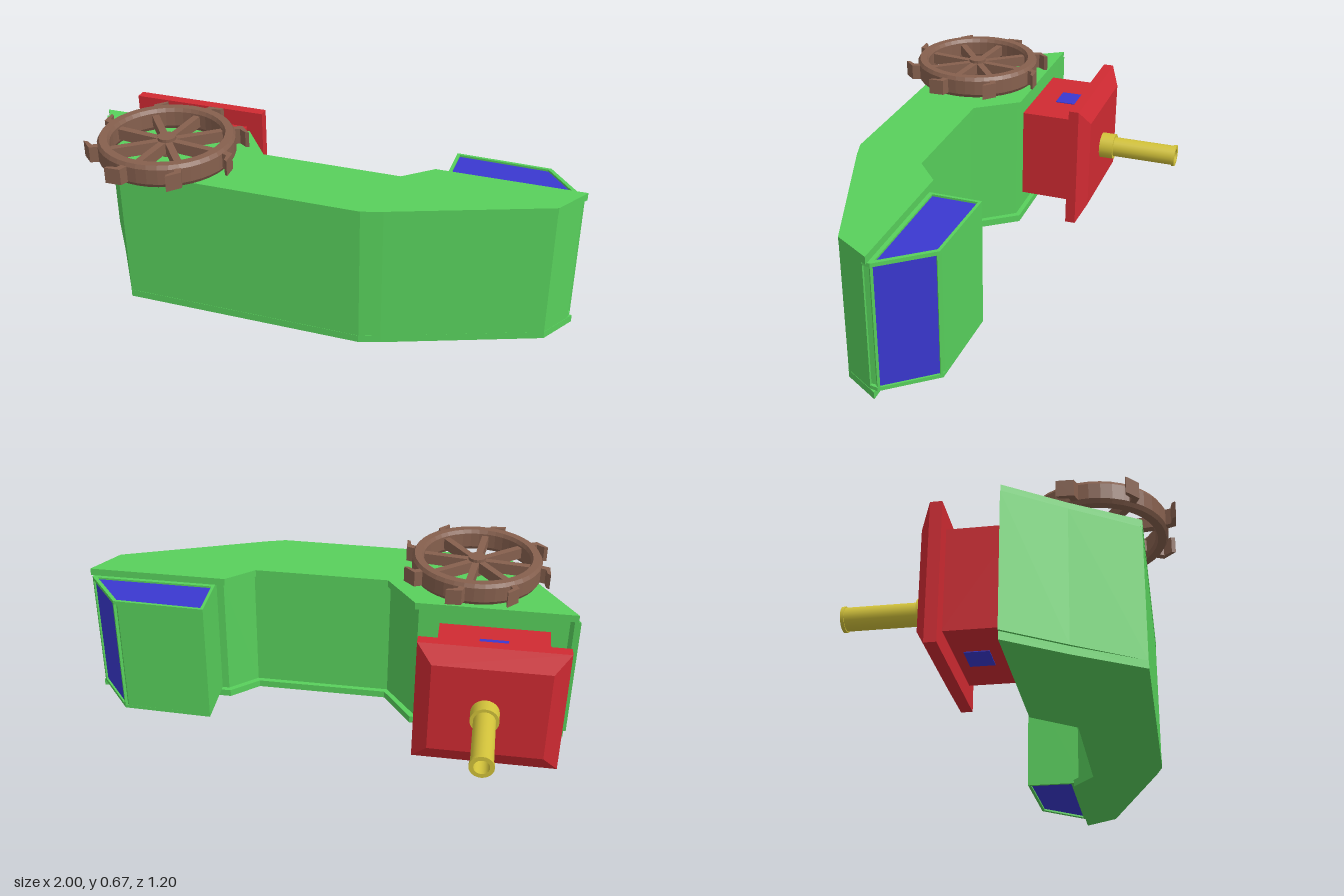
import * as THREE from 'three';

const mat = (color) => new THREE.MeshStandardMaterial({ color, flatShading: true, side: THREE.DoubleSide });
const smooth = (color) => new THREE.MeshStandardMaterial({ color, side: THREE.DoubleSide });

export function createModel() {
  const model = new THREE.Group();
  const green = mat(0x58d05c), blue = mat(0x3a38d0), red = mat(0xd02a32);
  const brown = mat(0x86604e), gold = smooth(0xd2c23a);

  const add = (name, geometry, material, parent = model) => {
    const mesh = new THREE.Mesh(geometry, material);
    mesh.name = name;
    parent.add(mesh);
    return mesh;
  };
  // Profiles are drawn as [x, z] and extruded upward from y0 to y1
  const trace = (pts, Type = THREE.Shape) => new Type(pts.map(([x, z]) => new THREE.Vector2(x, -z)));
  const slab = (pts, y0, y1, hole) => {
    const shape = trace(pts);
    if (hole) shape.holes.push(trace(hole, THREE.Path));
    return new THREE.ExtrudeGeometry(shape, { depth: y1 - y0, bevelEnabled: false, curveSegments: 24 })
      .rotateX(-Math.PI / 2).translate(0, y0, 0);
  };

  // Hull: two side walls around a core with a sunken deck and a proud stern
  const wall = [[-0.99, 0.01], [-0.355, 0.01], [-0.23, 0.175], [0.32, 0.175], [0.43, 0.08], [1, 0.08],
    [0.915, 0.22], [0.33, 0.44], [0.25, 0.465], [-0.705, 0.465], [-0.85, 0.22]];
  const core = [[-1, 0.01], [-0.975, 0.01], [-0.96, 0.03], [-0.37, 0.03], [-0.24, 0.195], [0.33, 0.195],
    [0.44, 0.1], [0.986, 0.1], [0.914, 0.22], [0.33, 0.44], [0.25, 0.464], [-0.705, 0.464], [-0.86, 0.22]];
  add('hullCore', slab(core, 0.03, 0.55), green);
  add('hullWallBottom', slab(wall, 0, 0.03), green);
  add('hullWallTop', slab(wall, 0.55, 0.58), green);

  // Cabin: solid core, framed side windows and a framed sloping windscreen
  const cabin = new THREE.Group();
  cabin.name = 'cabin';
  model.add(cabin);
  add('cabinCore', slab([[0.47, 0.11], [0.47, -0.125], [0.825, -0.115], [0.975, 0.07], [0.975, 0.11]], 0.045, 0.535), green, cabin);
  const outline = [[0.47, 0.1], [0.47, -0.125], [0.84, -0.115], [0.99, 0.07], [0.985, 0.1]];
  const opening = [[0.482, 0.064], [0.482, -0.113], [0.834, -0.103], [0.968, 0.064]];
  for (const y of [0.03, 0.535]) add('sideWindowFrame', slab(outline, y, y + 0.015, opening), green, cabin);
  for (const y of [0.038, 0.535]) add('sideWindow', slab(opening, y, y + 0.007), blue, cabin);

  const windscreen = new THREE.Group();
  windscreen.name = 'windscreen';
  windscreen.position.set(0.915, 0.29, -0.0225);
  windscreen.rotation.y = Math.atan2(0.777, -0.63);
  cabin.add(windscreen);
  const rect = (w, h, Type) => new Type([[-w, -h], [w, -h], [w, h], [-w, h]].map(([x, y]) => new THREE.Vector2(x, y)));
  const frame = rect(0.119, 0.26, THREE.Shape);
  frame.holes.push(rect(0.109, 0.25, THREE.Path));
  add('windscreenFrame', new THREE.ExtrudeGeometry(frame, { depth: 0.015, bevelEnabled: false }).translate(0, 0, -0.015), green, windscreen);
  add('windscreenGlass', new THREE.PlaneGeometry(0.22, 0.5).translate(0, 0, -0.008), blue, windscreen);

  // Deckhouse with a window on each side
  const box = (x0, x1, y0, y1, z0, z1) => new THREE.BoxGeometry(x1 - x0, y1 - y0, z1 - z0)
    .translate((x0 + x1) / 2, (y0 + y1) / 2, (z0 + z1) / 2);
  add('deckhouse', box(-0.89, -0.455, 0.095, 0.485, -0.2, 0.05), red);
  for (const y of [0.092, 0.482]) add('deckhouseWindow', box(-0.73, -0.617, y, y + 0.006, -0.158, -0.068), blue);

  // Roof: a slab with a bevelled cap whose outer face is drawn in
  add('roofSlab', box(-0.96, -0.385, 0.022, 0.555, -0.238, -0.195), red);
  const cap = box(-0.96, -0.385, 0.022, 0.555, -0.278, -0.238);
  const p = cap.attributes.position;
  for (let i = 0; i < p.count; i++) {
    if (p.getZ(i) < -0.26) {
      p.setX(i, -0.6725 + (p.getX(i) + 0.6725) * 0.79);
      p.setY(i, 0.2885 + (p.getY(i) - 0.2885) * 0.73);
    }
  }
  cap.computeVertexNormals();
  add('roofCap', cap, red);

  // Hollow chimney, lathed with doubled corners for sharp edges
  const profile = [[0.056, 0.26], [0.056, 0.338], [0.043, 0.338], [0.043, 0.602], [0.047, 0.602],
    [0.047, 0.615], [0.03, 0.615], [0.03, 0.3], [0, 0.3]];
  const chimney = new THREE.Group();
  chimney.name = 'chimney';
  chimney.position.set(-0.66, 0.29, 0);
  chimney.rotation.x = -Math.PI / 2;
  model.add(chimney);
  for (let i = 0; i < profile.length - 1; i++) {
    const pair = [profile[i], profile[i + 1]].map(([r, h]) => new THREE.Vector2(r, h));
    add('chimneySection', new THREE.LatheGeometry(pair, 24), gold, chimney);
  }

  // Paddle wheel on the upper side: bevelled rim, spokes, hub, hooked paddles
  const wheel = new THREE.Group();
  wheel.name = 'paddleWheel';
  wheel.position.set(-0.58, 0.625, 0.29);
  model.add(wheel);
  const rim = [[0.225, -0.045], [0.255, -0.045], [0.264, -0.03], [0.264, 0.03], [0.255, 0.045],
    [0.225, 0.045], [0.217, 0.03], [0.217, -0.03], [0.225, -0.045]];
  add('wheelRim', new THREE.LatheGeometry(rim.map(([r, y]) => new THREE.Vector2(r, y)), 40), brown, wheel);
  add('wheelHub', new THREE.CylinderGeometry(0.036, 0.036, 0.07, 16), brown, wheel);
  add('wheelAxle', new THREE.CylinderGeometry(0.025, 0.025, 0.08, 12).translate(0, -0.03, 0), brown, wheel);
  const paddle = [[0.25, -0.03], [0.295, -0.025], [0.312, 0.035], [0.298, 0.03], [0.283, -0.002], [0.25, -0.004]];
  for (let i = 0; i < 8; i++) {
    const turn = (deg) => -THREE.MathUtils.degToRad(deg + i * 45);
    add('wheelSpoke', new THREE.BoxGeometry(0.22, 0.045, 0.028).translate(0.115, 0, 0), brown, wheel).rotation.y = turn(7);
    add('wheelPaddle', slab(paddle, -0.032, 0.032), brown, wheel).rotation.y = turn(14);
  }
  return model;
}
